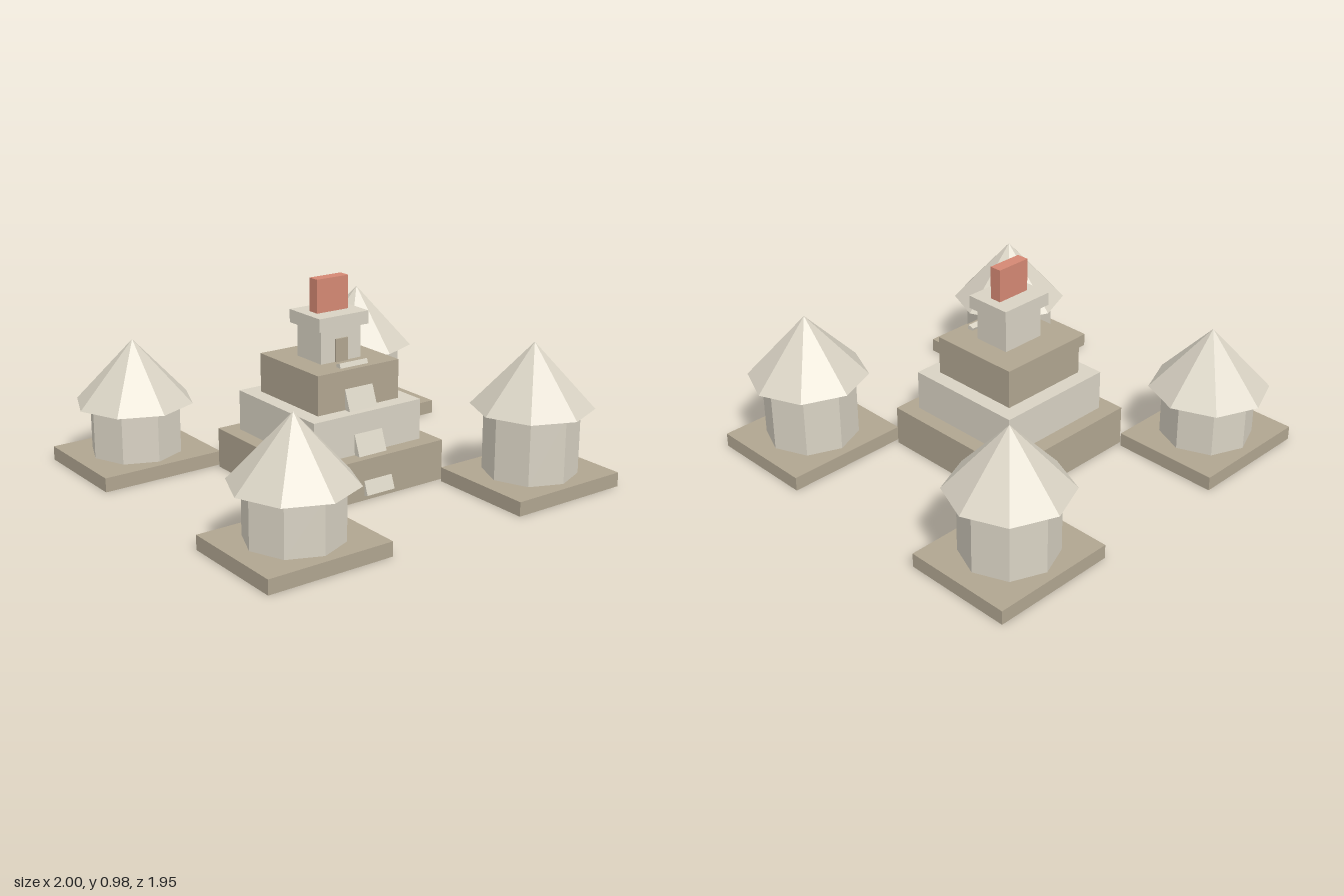
import * as THREE from 'three';

export function createModel() {
  const model = new THREE.Group();
  model.name = 'templeCourt';

  const material = (name, color) => {
    const m = new THREE.MeshStandardMaterial({ color });
    m.name = name;
    return m;
  };
  const paleStone = material('paleStone', 0xd8d2c3);
  const brownStone = material('brownStone', 0xb0a590);
  const redPaint = material('redPaint', 0xd48873);

  const add = (parent, name, geometry, mat, x, y, z) => {
    const mesh = new THREE.Mesh(geometry, mat);
    mesh.name = name;
    mesh.position.set(x, y, z);
    parent.add(mesh);
    return mesh;
  };
  // Box given by its width, depth, bottom and top
  const block = (parent, name, w, d, y0, y1, mat, z = 0) =>
    add(parent, name, new THREE.BoxGeometry(w, y1 - y0, d), mat, 0, (y0 + y1) / 2, z);
  // Eight-sided geometry with hard facets and corners on the axes
  const octagon = (rTop, rBottom, h) => {
    const g = new THREE.CylinderGeometry(rTop, rBottom, h, 8).toNonIndexed();
    g.computeVertexNormals();
    return g;
  };

  // Stepped pyramid with shrine and crest
  const pyramid = new THREE.Group();
  pyramid.name = 'pyramid';
  model.add(pyramid);
  block(pyramid, 'lowerTier', 0.774, 0.774, 0, 0.2, brownStone);
  block(pyramid, 'middleTier', 0.62, 0.62, 0.2, 0.4, paleStone);
  block(pyramid, 'upperTier', 0.47, 0.47, 0.4, 0.592, brownStone);
  block(pyramid, 'shrine', 0.23, 0.19, 0.592, 0.756, paleStone);
  block(pyramid, 'shrineCap', 0.284, 0.24, 0.756, 0.82, paleStone);
  block(pyramid, 'crest', 0.18, 0.06, 0.82, 0.982, redPaint);
  block(pyramid, 'door', 0.07, 0.02, 0.592, 0.704, brownStone, 0.095);

  // Leaning stair slab, sunk into the front of the tiers
  const lean = Math.atan(0.375);
  const stair = add(pyramid, 'stairSlab', new THREE.BoxGeometry(0.16, 0.625, 0.03), paleStone, 0, 0.317, 0.288);
  stair.rotation.x = -lean;

  // Four corner huts, taller on the model's left
  for (const sx of [-1, 1]) {
    for (const sz of [-1, 1]) {
      const hut = new THREE.Group();
      hut.name = (sz > 0 ? 'front' : 'back') + (sx > 0 ? 'Left' : 'Right') + 'Hut';
      hut.position.set(sx * 0.683, 0, sz * 0.683);
      model.add(hut);
      const eave = sx > 0 ? 0.392 : 0.322;
      block(hut, 'platform', 0.634, 0.548, 0, 0.07, brownStone);
      add(hut, 'walls', octagon(0.227, 0.227, eave - 0.07), paleStone, 0, (eave + 0.07) / 2, 0);
      add(hut, 'roof', octagon(0, 0.293, 0.313), paleStone, 0, eave + 0.1565, 0);
    }
  }
  return model;
}
